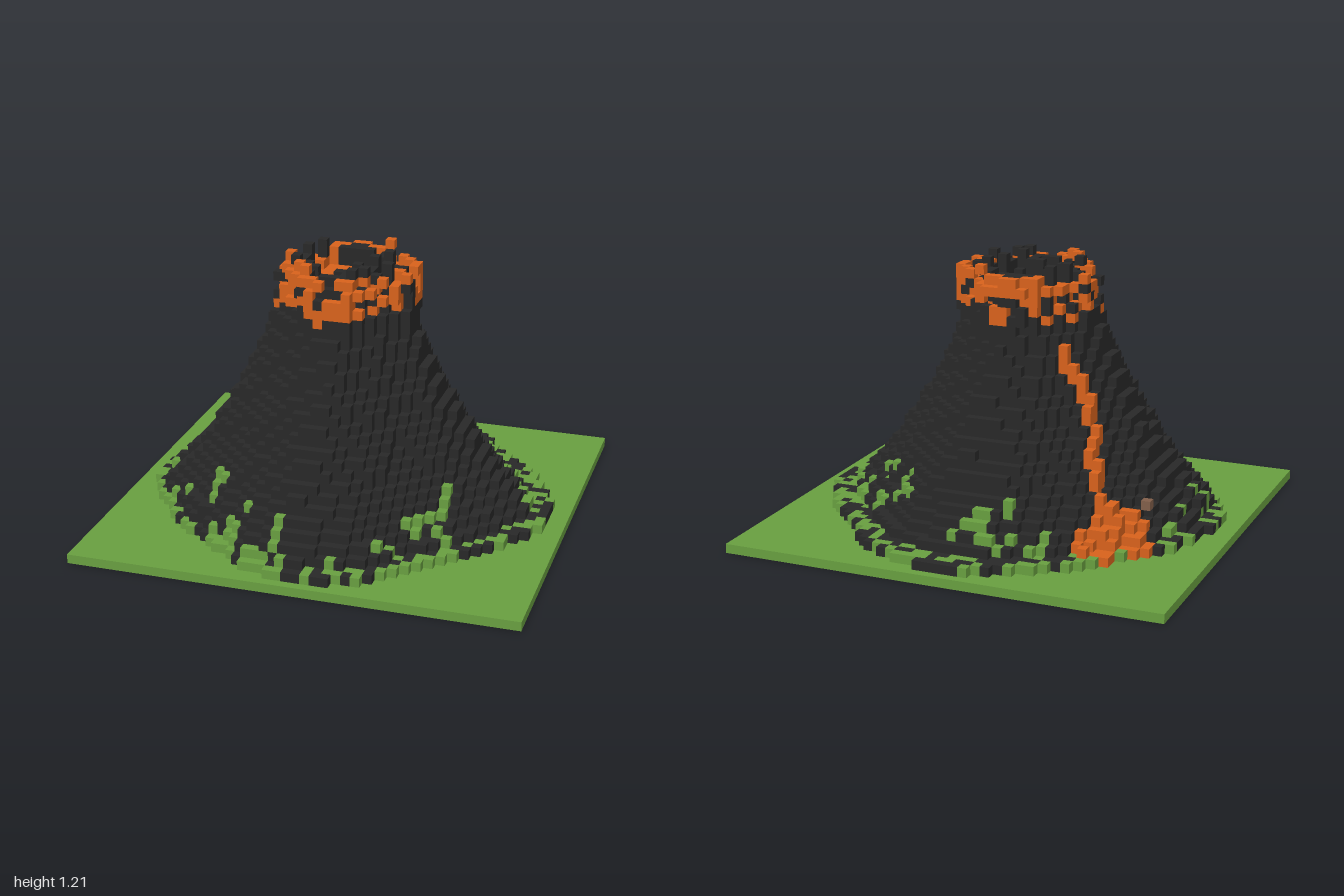
import * as THREE from 'three';

const U = 1 / 24; // cube size
const colours = { grass: 0x689f40, rock: 0x282828, lava: 0xd8621c, earth: 0x825f4a };

// repeatable pseudo-random value in 0..1 for a cell
function hash(i, j, k) {
  let h = Math.imul(i + 101, 374761393) ^ Math.imul(j + 57, 668265263) ^ Math.imul(k + 13, 1274126177);
  h = Math.imul(h ^ (h >>> 13), 1103515245);
  h = Math.imul(h ^ (h >>> 15), 668265263);
  return ((h ^ (h >>> 16)) >>> 0) / 4294967296;
}

// slope profile: layer, radius in cubes
const profile = [[0, 22], [1, 21.9], [2, 20], [3, 19], [5, 17.1], [7, 15.5], [10, 13.6], [12, 12.3],
  [15, 10.6], [18, 9.1], [21, 7.9], [23, 7.4]];
function radius(k) {
  for (let n = 1; n < profile.length; n++) {
    const [k0, r0] = profile[n - 1], [k1, r1] = profile[n];
    if (k <= k1) return r0 + (r1 - r0) * (k - k0) / (k1 - k0);
  }
  return 0;
}

// narrower towards the diagonals
const diamond = (angle) => 1 + 0.05 * (Math.cos(4 * angle) - 1);

// slightly diamond-shaped, uneven slice of the cone
function inCone(i, j, k) {
  const shift = k < 2 ? 0 : Math.min(0.8, 0.3 * k);
  const x = i + 0.5 + shift, z = j + 0.5 - shift;
  const a = Math.atan2(z, x);
  const wobble = 0.25 * Math.sin(5 * a + 1) + 0.2 * Math.sin(11 * a + k * 0.3);
  const r = radius(k) * diamond(a) + wobble * Math.min(1, radius(k) / 14);
  return Math.hypot(x, z) < r;
}

// denser vegetation: x, z, reach (in cubes)
const thickets = [[-3, -18, 4], [2, -20, 3], [-7, -15, 2], [9, -11, 2.5], [13, -10, 3], [16, -6, 3], [19, -3, 2],
  [14, 9, 2.5], [16, 10, 2.5], [13, 13, 3], [-11, 11, 1.8], [-8, 17, 2.5], [-4, 18.5, 2], [-20, -5, 2], [-20, 2, 2]];
function isGrass(i, j, k) {
  if (k > 7) return false;
  const near = thickets.some(([x, z, r]) => Math.hypot(i + 0.5 - x, j + 0.5 - z) < r);
  const p = near ? 0.55 - 0.04 * k : [0, 0.52, 0.14, 0.05, 0.02, 0.01, 0.01, 0][k];
  return hash(i, j, k) < p;
}

// lava stream course, as cells
const stream = new Set();
const course = [[-7, -4.5], [-10.5, -5.3], [-11.2, -8.3], [-12.8, -9.7]];
for (let n = 1; n < course.length; n++) {
  for (let t = 0; t <= 1; t += 0.05) {
    const [a, b] = [course[n - 1], course[n]];
    stream.add(Math.floor(a[0] + (b[0] - a[0]) * t) + ',' + Math.floor(a[1] + (b[1] - a[1]) * t));
  }
}
// lava spreading sideways at the foot of the slope
function isRunout(i, j) {
  const x = i + 0.5 + 14.3, z = j + 0.5 + 10.9;
  const across = 0.61 * x - 0.79 * z, along = 0.79 * x + 0.61 * z;
  return Math.hypot(across / 4.5, along / 2.5) < 1 && hash(i, j, 90) < 0.88;
}

function fillCells() {
  const cells = new Map();
  const put = (i, j, k, part) => cells.set(`${i},${j},${k}`, { i, j, k, part });
  for (let i = -24; i < 24; i++) for (let j = -23; j < 23; j++) {
    // ground slab with an earth core
    put(i, j, 0, inCone(i, j, 1) ? 'earthCore' : 'ground');
    // slopes
    let top = 0;
    for (let k = 1; k <= 22; k++) {
      if (!inCone(i, j, k)) continue;
      top = k;
      put(i, j, k, isGrass(i, j, k) ? 'vegetation' : 'slope');
    }
    // lava running down the slope
    const flowing = stream.has(`${i},${j}`);
    if (top && top < 22 && (flowing || isRunout(i, j))) {
      for (let k = Math.max(1, top - 3); k <= top; k++) put(i, j, k, 'lavaStream');
      if (flowing || hash(i, j, 91) < 0.35) put(i, j, top + 1, 'lavaStream');
    }
    // crater: pool, inner rim and ragged outer shell
    const x = i + 1, z = j + 0.1;
    const d = Math.hypot(x, z) / diamond(Math.atan2(z, x));
    const inPool = Math.hypot(i + 0.5 + 1.2, j + 0.5 + 0.6) < 3.8;
    if (inPool) for (let k = 23; k <= 25; k++) put(i, j, k, 'lavaPool');
    else if (d < 6.3) {
      const rimTop = 26 + Math.floor(hash(i, j, 70) * 2.2);
      for (let k = 23; k <= rimTop; k++) {
        put(i, j, k, d > 5.2 && hash(i, j, k) < 0.4 ? 'rimLava' : 'craterRim');
      }
    } else if (d < 7.6) {
      for (let k = 23; k <= 28; k++) {
        const h = hash(i, j, k), lava = [0.25, 0.48, 0.52, 0.52, 0.4, 0.05][k - 23];
        if (h < lava) put(i, j, k, 'rimLava');
        else if (k === 23 || h > 0.8 && k < 27) put(i, j, k, 'craterRim');
      }
    }
  }
  put(-17, -7, 5, 'looseStone');
  return cells;
}

// the six sides of a cube: outward normal and two edge directions (u x v = normal)
const sides = [];
for (let a = 0; a < 3; a++) for (const s of [1, -1]) {
  const axis = (n, v) => [0, 1, 2].map(m => (m === n ? v : 0));
  sides.push({ n: axis(a, s), u: axis((a + 1) % 3, s), v: axis((a + 2) % 3, 1) });
}

// only the exposed faces of one part's cubes
function cubeGeometry(list, cells) {
  const pos = [], nor = [];
  for (const { i, j, k } of list) {
    const c = [i + 0.5, k + 0.5, j + 0.5];
    for (const { n, u, v } of sides) {
      if (cells.has(`${i + n[0]},${j + n[2]},${k + n[1]}`)) continue;
      for (const [p, q] of [[-1, -1], [1, -1], [1, 1], [-1, -1], [1, 1], [-1, 1]]) {
        for (let m = 0; m < 3; m++) pos.push((c[m] + (n[m] + p * u[m] + q * v[m]) / 2) * U);
        nor.push(...n);
      }
    }
  }
  const g = new THREE.BufferGeometry();
  g.setAttribute('position', new THREE.Float32BufferAttribute(pos, 3));
  g.setAttribute('normal', new THREE.Float32BufferAttribute(nor, 3));
  return g;
}

export function createModel() {
  const group = new THREE.Group();
  group.name = 'volcano';
  const materials = {};
  for (const [name, color] of Object.entries(colours)) {
    materials[name] = new THREE.MeshStandardMaterial({ color });
    materials[name].name = name;
  }
  const parts = {
    ground: 'grass', earthCore: 'earth', slope: 'rock', vegetation: 'grass', craterRim: 'rock',
    rimLava: 'lava', lavaPool: 'lava', lavaStream: 'lava', looseStone: 'earth',
  };
  const cells = fillCells();
  for (const [name, colour] of Object.entries(parts)) {
    const list = [...cells.values()].filter(c => c.part === name);
    const mesh = new THREE.Mesh(cubeGeometry(list, cells), materials[colour]);
    mesh.name = name;
    group.add(mesh);
  }
  return group;
}
